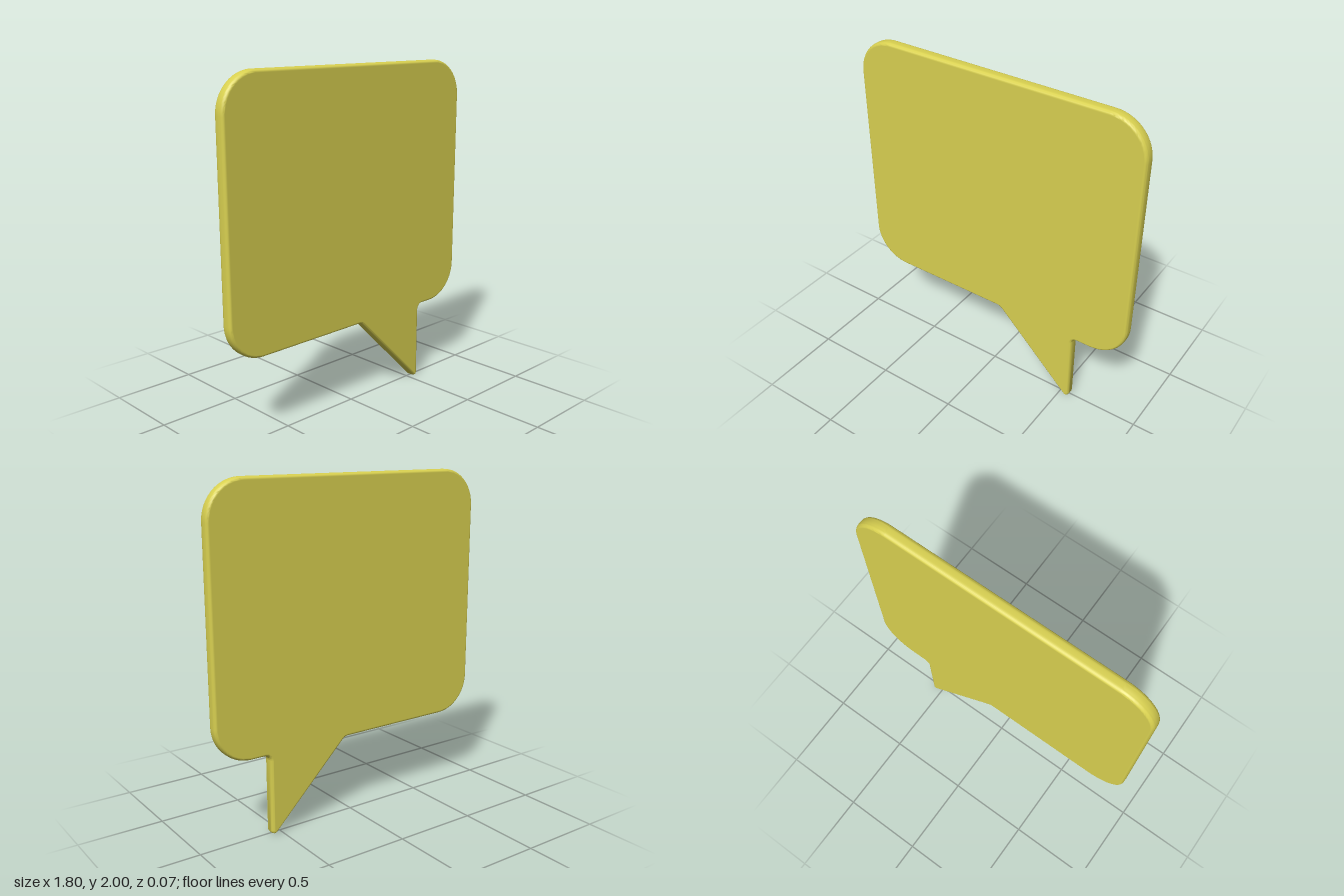
import * as THREE from 'three';
import { toCreasedNormals } from 'three/addons/utils/BufferGeometryUtils.js';

const HALF_DEPTH = 0.036;

// Outline: rounded panel with a pointed tail under its lower edge
function bubbleOutline() {
  const w = 0.9, bottom = 0.48, top = 2, r = 0.22, PI = Math.PI;
  const s = new THREE.Shape();
  s.absarc(-w + r, bottom + r, r, PI, 1.5 * PI, false);           // lower corner, -x
  s.absarc(0.035, bottom - 0.05, 0.05, PI / 2, PI / 4, true);     // fillet into slanted tail edge
  s.absarc(0.545, 0.02, 0.02, 1.25 * PI, 2 * PI, false);          // tail tip
  s.absarc(0.6, bottom - 0.035, 0.035, PI, PI / 2, true);         // fillet out of upright tail edge
  s.absarc(w - r, bottom + r, r, 1.5 * PI, 2 * PI, false);        // lower corner, +x
  s.absarc(w - r, top - r, r, 0, PI / 2, false);                  // upper corner, +x
  s.absarc(-w + r, top - r, r, PI / 2, PI, false);                // upper corner, -x
  s.closePath();
  return s;
}

export function createModel() {
  const bevel = 0.025, inset = 0.018;
  const depth = 2 * (HALF_DEPTH - bevel);
  const extruded = new THREE.ExtrudeGeometry(bubbleOutline(), {
    depth, curveSegments: 14, steps: 1,
    bevelEnabled: true, bevelThickness: bevel, bevelSize: inset, bevelOffset: -inset, bevelSegments: 6,
  });
  extruded.translate(0, 0, -depth / 2);

  // Smooth rounded rim, with the two faces kept truly flat
  const geometry = toCreasedNormals(extruded, 0.7);
  const { position, normal } = geometry.attributes;
  for (let i = 0; i < position.count; i++) {
    const z = position.getZ(i);
    if (Math.abs(z) > HALF_DEPTH - 1e-4) normal.setXYZ(i, 0, 0, Math.sign(z));
  }

  const bubble = new THREE.Mesh(geometry, new THREE.MeshStandardMaterial({ color: 0xd8d050 }));
  bubble.name = 'speechBubble';
  const group = new THREE.Group();
  group.name = 'speechBubbleSign';
  group.add(bubble);
  return group;
}
